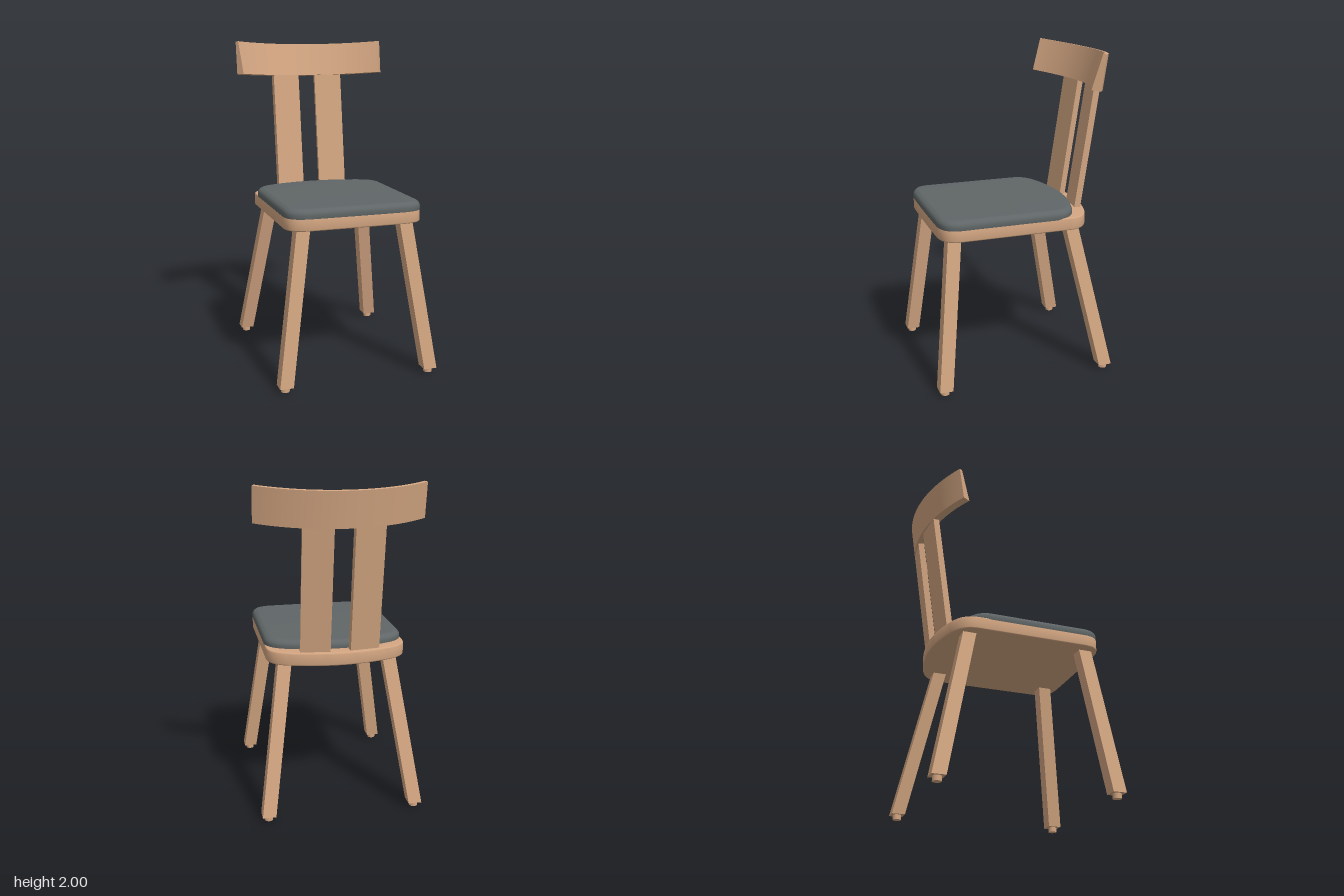
import * as THREE from 'three';
import { toCreasedNormals } from 'three/addons/utils/BufferGeometryUtils.js';

const LEAN = 0.145; // backward tilt of the backrest

// Plan outline shared by seat and cushion: rounded front, gently bowed back.
function outline(back) {
  const s = new THREE.Shape();
  s.moveTo(-0.425, 0.41);
  s.lineTo(-0.425, back + 0.195);
  s.quadraticCurveTo(-0.425, back + 0.092, -0.3, back + 0.05);
  s.quadraticCurveTo(0, back - 0.05, 0.3, back + 0.05);
  s.quadraticCurveTo(0.425, back + 0.092, 0.425, back + 0.195);
  s.lineTo(0.425, 0.41);
  s.bezierCurveTo(0.425, 0.49, 0.38, 0.525, 0.3, 0.532);
  s.quadraticCurveTo(0, 0.538, -0.3, 0.532);
  s.bezierCurveTo(-0.38, 0.525, -0.425, 0.49, -0.425, 0.41);
  return s;
}

// Horizontal slab with rounded rims, between two heights.
function slab(back, bottom, top, bevelSize, bevelThickness, bevelSegments) {
  const geo = new THREE.ExtrudeGeometry(outline(back), {
    depth: top - bottom - 2 * bevelThickness,
    bevelSize, bevelThickness, bevelSegments,
    bevelOffset: -bevelSize,
    curveSegments: 14,
  });
  geo.rotateX(Math.PI / 2).translate(0, top - bevelThickness, 0);
  return toCreasedNormals(geo, 0.6);
}

// Move every vertex of a geometry by a rule.
function deform(geo, rule) {
  const p = geo.attributes.position;
  const v = new THREE.Vector3();
  for (let i = 0; i < p.count; i++) {
    rule(v.fromBufferAttribute(p, i));
    p.setXYZ(i, v.x, v.y, v.z);
  }
  geo.computeVertexNormals();
  return geo;
}

// Square leg, sheared so both ends stay level.
function legGeometry(bottom, top) {
  const height = top.y - bottom.y;
  const geo = new THREE.BoxGeometry(0.082, height, 0.082);
  return deform(geo, (v) => {
    const t = v.y / height + 0.5;
    v.x += THREE.MathUtils.lerp(bottom.x, top.x, t);
    v.z += THREE.MathUtils.lerp(bottom.z, top.z, t);
    v.y = THREE.MathUtils.lerp(bottom.y, top.y, t);
  });
}

// Curved top rail: an arc in plan, thicker along its lower edge.
function railGeometry() {
  const R = 0.884;
  const half = Math.asin(0.5 / R);
  const geo = new THREE.BoxGeometry(2 * half, 1, 1, 32, 1, 1);
  return deform(geo, (v) => {
    const angle = v.x;
    const thickness = v.y > 0 ? 0.023 : 0.056;
    const r = v.z > 0 ? R - thickness : R;
    v.set(r * Math.sin(angle), (v.y + 0.5) * 0.212, R - r * Math.cos(angle));
  });
}

export function createModel() {
  const model = new THREE.Group();
  model.name = 'chair';

  const wood = new THREE.MeshStandardMaterial({ color: 0xd2a581 });
  wood.name = 'wood';
  const fabric = new THREE.MeshStandardMaterial({ color: 0x606667 });
  fabric.name = 'cushion grey';

  const add = (name, geo, material) => {
    const mesh = new THREE.Mesh(geo, material);
    mesh.name = name;
    model.add(mesh);
    return mesh;
  };

  // Seat board and cushion
  add('seat', slab(-0.465, 0.945, 1.024, 0.008, 0.008, 3), wood);
  add('cushion', slab(-0.38, 0.985, 1.073, 0.04, 0.034, 7), fabric);

  for (const side of [1, -1]) {
    const label = side > 0 ? 'left' : 'right';

    // Splayed legs with small round feet
    for (const [end, zBottom, zTop] of [['Front', 0.545, 0.44], ['Back', -0.502, -0.305]]) {
      const bottom = new THREE.Vector3(side * 0.457, 0.03, zBottom);
      const top = new THREE.Vector3(side * 0.32, 0.95, zTop);
      add(label + end + 'Leg', legGeometry(bottom, top), wood);
      const foot = add(label + end + 'Foot', new THREE.CylinderGeometry(0.026, 0.026, 0.035, 24), wood);
      foot.position.set(bottom.x, 0.0175, bottom.z);
    }

    // Back slats, turned slightly to follow the rail
    const slat = add(label + 'Slat', new THREE.BoxGeometry(0.18, 0.808, 0.038), wood);
    slat.position.set(side * 0.148, 1.4, -0.46);
    slat.rotation.set(-LEAN, -side * 0.12, 0);
  }

  // Backrest rail
  const rail = add('topRail', railGeometry(), wood);
  rail.position.set(0, 1.768, -0.556);
  rail.rotation.x = -LEAN;

  return model;
}
